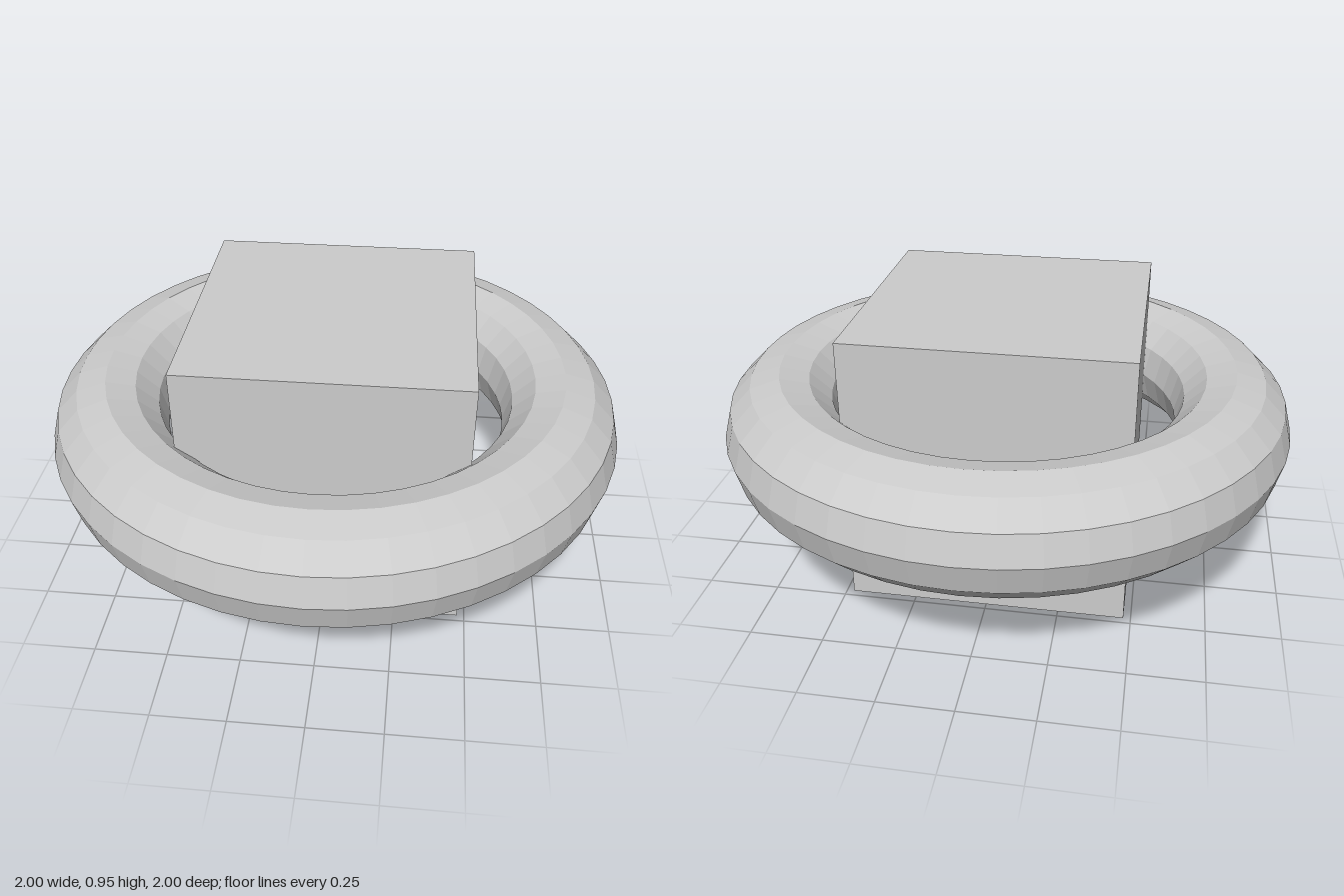
import * as THREE from 'three';

export function createModel() {
  const model = new THREE.Group();
  const material = new THREE.MeshStandardMaterial({ color: 0xcccccc, flatShading: true });

  // Cube standing on the ground
  const size = 0.95;
  const cube = new THREE.Mesh(new THREE.BoxGeometry(size, size, size), material);
  cube.name = 'cube';
  cube.position.y = size / 2;
  model.add(cube);

  // Faceted ring lying flat around the cube, cut by its four upright edges
  const ring = new THREE.Mesh(new THREE.TorusGeometry(0.8, 0.2, 12, 48), material);
  ring.name = 'ring';
  ring.rotation.x = -Math.PI / 2;
  ring.position.y = 0.53;
  model.add(ring);

  return model;
}
